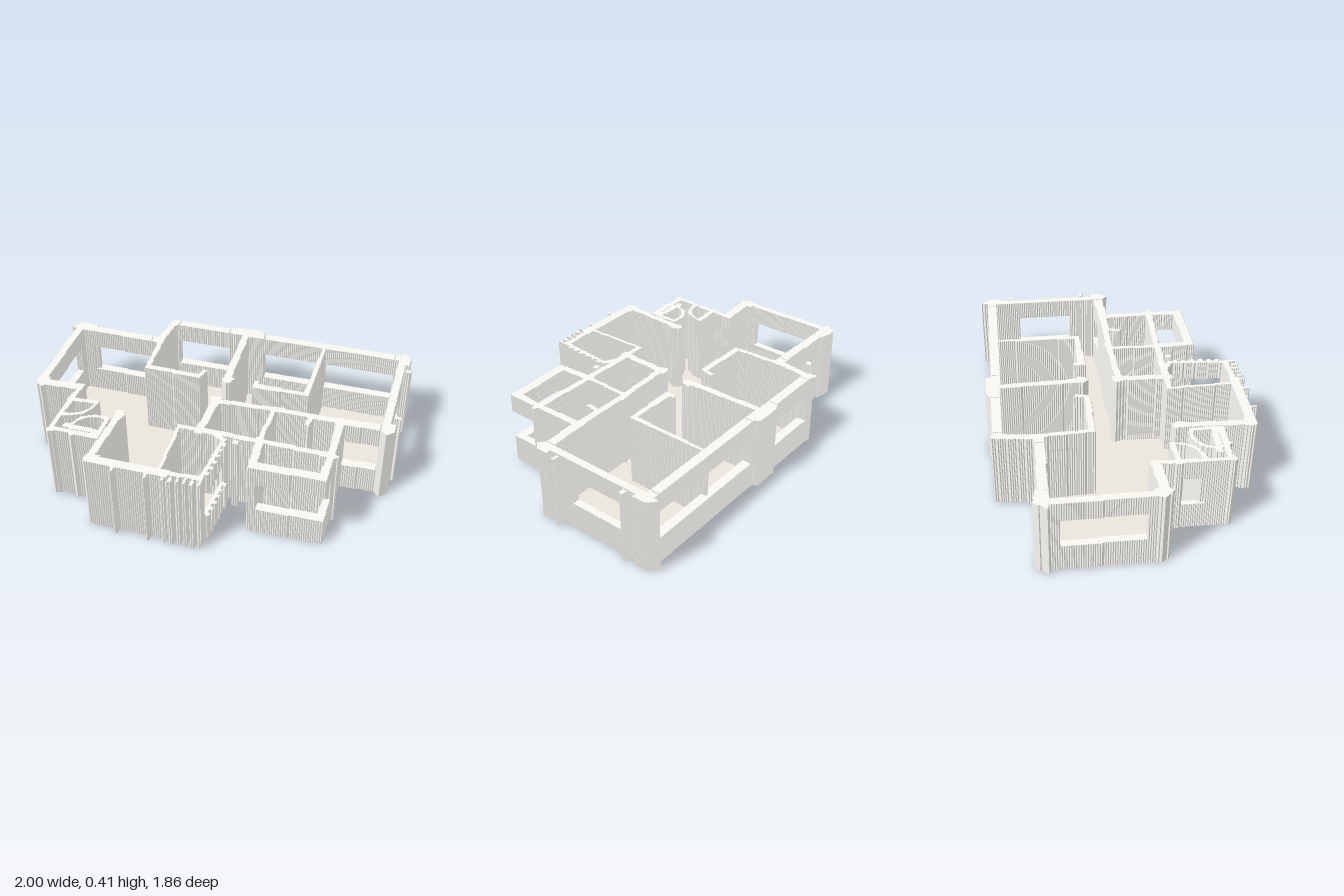
import * as THREE from 'three';

const H = 0.415, SILL = 0.15, HEAD = 0.31;   // wall height and window band
const GRID = 0.008;                          // size of the small steps along slanted walls

// Redraw a plan outline as axis-aligned steps on a fine grid
function stepped(pts) {
  const out = [];
  pts.forEach(([x1, z1], i) => {
    const [x2, z2] = pts[(i + 1) % pts.length];
    const a = Math.round(x1 / GRID), b = Math.round(z1 / GRID);
    const dx = Math.round(x2 / GRID) - a, dz = Math.round(z2 / GRID) - b;
    const n = Math.max(Math.abs(dx), Math.abs(dz));
    let px = a, pz = b;
    for (let k = 1; k <= n; k++) {
      const x = a + Math.round(dx * k / n), z = b + Math.round(dz * k / n);
      if (x !== px && z !== pz) out.push([x * GRID, pz * GRID]);
      out.push([x * GRID, z * GRID]);
      px = x;
      pz = z;
    }
  });
  return out;
}

export function createModel() {
  const model = new THREE.Group();
  const wallMat = new THREE.MeshStandardMaterial({ color: 0xf8f7f2 });
  const floorMat = new THREE.MeshStandardMaterial({ color: 0xece6dd });

  // Upright prism over a plan outline of [x, z] points
  function prism(name, pts, y0, y1, mat = wallMat, parent = model) {
    const shape = new THREE.Shape(stepped(pts).map(([x, z]) => new THREE.Vector2(x, -z)));
    const geo = new THREE.ExtrudeGeometry(shape, { depth: y1 - y0, bevelEnabled: false });
    geo.rotateX(-Math.PI / 2).translate(0, y0, 0);
    const mesh = new THREE.Mesh(geo, mat);
    mesh.name = name;
    parent.add(mesh);
  }

  // Wall along a centre line; each window is a [from, to] fraction of its length
  function wall(name, [x1, z1, x2, z2], thick, windows = []) {
    const group = new THREE.Group();
    group.name = name;
    const len = Math.hypot(x2 - x1, z2 - z1), h = thick / 2;
    const ux = (x2 - x1) / len, uz = (z2 - z1) / len;
    const at = (s, t) => [x1 + ux * s - uz * t, z1 + uz * s + ux * t];
    const piece = (a, b, y0, y1) =>
      prism(name + 'Piece', [at(a, -h), at(b, -h), at(b, h), at(a, h)], y0, y1, wallMat, group);
    let start = -h;
    for (const [from, to] of windows) {
      const a = from <= 0 ? -h : from * len, b = to >= 1 ? len + h : to * len;
      if (a > start) piece(start, a, 0, H);
      piece(a, b, 0, SILL);
      piece(a, b, HEAD, H);
      start = b;
    }
    if (start < len + h - 1e-4) piece(start, len + h, 0, H);
    model.add(group);
  }

  // Floor slab following the outer walls
  prism('floor', [
    [-0.49, -0.89], [-0.15, -0.55], [0.02, -0.67], [0.95, 0.275], [0.505, 0.735], [0.335, 0.58],
    [0.025, 0.895], [-0.22, 0.655], [-0.1, 0.515], [-0.26, 0.37], [-0.255, 0.41], [-0.49, 0.625],
    [-0.63, 0.5], [-0.895, 0.23], [-0.66, 0.01], [-0.8, 0.08], [-0.96, -0.09], [-0.72, -0.33], [-0.865, -0.49],
  ], 0.002, 0.01, floorMat);

  // Outer walls
  const outer = [
    ['loungeEastWall', [-0.47, -0.88, -0.14, -0.545], [[0.14, 0.9]]],
    ['loungeNorthWall', [-0.865, -0.505, -0.49, -0.885], [[0.1, 0.9]]],
    ['loungeWestWall', [-0.875, -0.485, -0.715, -0.345]],
    ['bedroomNorthWall', [-0.14, -0.545, 0.02, -0.675]],
    ['longEastWall', [0.02, -0.67, 0.95, 0.275], [[0.025, 0.25], [0.41, 0.975]]],
    ['mainRoomSouthWall', [0.955, 0.285, 0.505, 0.735], [[0.235, 0.74]]],
    ['mainRoomWestWall', [0.5, 0.735, 0.335, 0.575], [[0.08, 0.94]]],
    ['utilitySouthWall', [0.335, 0.585, 0.14, 0.78]],
    ['porchSouthWall', [0.14, 0.78, 0.025, 0.895], [[0, 1]]],
    ['porchWestWall', [0.025, 0.895, -0.225, 0.655], [[0, 0.98]]],
    ['porchNorthWall', [-0.225, 0.655, -0.1, 0.515]],
    ['studyWestWall', [-0.895, 0.235, -0.625, 0.505]],
    ['studyNorthWall', [-0.895, 0.225, -0.62, -0.025]],
    ['studySpineWall', [-0.13, 0.11, -0.325, 0.295]],
  ];
  for (const [name, line, windows] of outer) wall(name, line, 0.045, windows);

  // Thinner walls: partitions, balcony and entry
  const inner = [
    ['bedroomPartition', [-0.14, -0.53, -0.315, -0.335]],
    ['bedroomPartition', [-0.315, -0.335, -0.11, -0.12]],
    ['doorNib', [-0.11, -0.12, -0.07, -0.15]],
    ['middleRoomPartition', [0.11, 0.1, 0.31, 0.3]],
    ['middleRoomPartition', [0.31, 0.3, 0.64, -0.025]],
    ['doorNib', [0.11, 0.1, 0.13, 0.08]],
    ['bathPartition', [-0.125, 0.125, 0.09, 0.325]],
    ['bathPartition', [-0.305, 0.31, -0.105, 0.515]],
    ['bathPartition', [-0.105, 0.515, 0.09, 0.33]],
    ['utilityPartition', [0.1, 0.335, 0.33, 0.57]],
    ['doorNib', [0.09, 0.325, 0.13, 0.35]],
    ['doorNib', [0.18, 0.515, 0.225, 0.475]],
    ['utilityPartition', [-0.105, 0.515, 0.14, 0.77]],
    ['balconyPartition', [-0.4, 0.215, -0.625, 0.455]],
    ['balconyPartition', [-0.4, 0.215, -0.265, 0.355]],
    ['balconyWestWall', [-0.63, 0.49, -0.49, 0.625]],
    ['balconySouthWall', [-0.49, 0.625, -0.255, 0.425], [[0.02, 1]]],
    ['balconyEastWall', [-0.255, 0.425, -0.27, 0.36]],
    ['entryNorthWall', [-0.715, -0.34, -0.97, -0.09], [[0.35, 0.7]]],
    ['entryWestWall', [-0.975, -0.085, -0.8, 0.09]],
    ['entrySouthWall', [-0.8, 0.09, -0.7, -0.01]],
    ['entryPartition', [-0.8, -0.27, -0.69, -0.17]],
    ['entryPartition', [-0.9, -0.07, -0.78, 0.06]],
  ];
  for (const [name, line, windows] of inner) wall(name, line, 0.026, windows);
  wall('doublePartition', [0.3, -0.335, 0.015, -0.03], 0.04);

  // Thickened corners and columns
  const columns = [
    [[-0.53, -0.92], [-0.45, -0.93], [-0.39, -0.85], [-0.42, -0.81], [-0.5, -0.87]],
    [[-0.9, -0.52], [-0.85, -0.54], [-0.82, -0.5], [-0.87, -0.45], [-0.9, -0.45]],
    [[0, -0.69], [0.05, -0.69], [0.05, -0.67], [0.01, -0.63], [-0.03, -0.66]],
    [[0.28, -0.45], [0.31, -0.44], [0.415, -0.34], [0.415, -0.31], [0.39, -0.3], [0.26, -0.43]],
    [[0.95, 0.26], [1, 0.235], [1, 0.305], [0.95, 0.35], [0.91, 0.3]],
    [[0.47, 0.74], [0.47, 0.78], [0.52, 0.78], [0.565, 0.735], [0.52, 0.7]],
    [[-0.92, 0.21], [-0.92, 0.245], [-0.87, 0.29], [-0.84, 0.23], [-0.88, 0.19]],
    [[-0.63, -0.06], [-0.595, -0.04], [-0.6, 0], [-0.64, 0.02], [-0.66, -0.02]],
    [[-0.15, 0.08], [-0.13, 0.08], [-0.1, 0.12], [-0.13, 0.15], [-0.17, 0.12]],
    [[-0.02, -0.04], [0, -0.05], [0.05, -0.01], [0.005, 0.015], [-0.02, 0]],
    [[-1, -0.09], [-0.975, -0.105], [-0.95, -0.08], [-0.97, -0.06], [-1, -0.07]],
  ];
  for (const pts of columns) prism('column', pts, 0, H);

  // Curved screens inside the entry
  function arc(x, z, r, from, to) {
    const pts = [], n = 10, t = 0.009;
    for (let i = 0; i <= 2 * n + 1; i++) {
      const outside = i <= n, k = (outside ? i : 2 * n + 1 - i) / n;
      const a = from + (to - from) * k, rr = outside ? r + t : r - t;
      pts.push([x + rr * Math.cos(a), z + rr * Math.sin(a)]);
    }
    prism('curvedScreen', pts, 0, H);
  }
  arc(-0.785, -0.25, 0.125, Math.PI * 0.2, Math.PI * 0.8);
  arc(-0.8, 0.02, 0.105, Math.PI * 1.0, Math.PI * 1.95);

  // Fins on the balcony and small ribs on the facades
  for (let i = 0; i < 6; i++) {
    const x = -0.63 + i * 0.027, z = 0.515 + i * 0.024;
    wall('balconyFin', [x, z, x - 0.024, z + 0.024], 0.016);
  }
  for (let i = 0; i < 6; i++) {
    const x = -0.46 + i * 0.035, z = 0.59 - i * 0.03;
    wall('balconyRib', [x, z, x + 0.016, z + 0.018], 0.016, [[0, 1]]);
  }
  for (const [x, z] of [[-0.82, 0.34], [-0.7, 0.46]]) wall('facadeRib', [x, z, x - 0.015, z + 0.02], 0.016);
  for (const [x, z] of [[0.9, 0.385], [0.6, 0.69], [0.15, 0.79], [-0.22, 0.46]])
    wall('facadeRib', [x, z, x + 0.015, z + 0.015], 0.016);

  return model;
}
